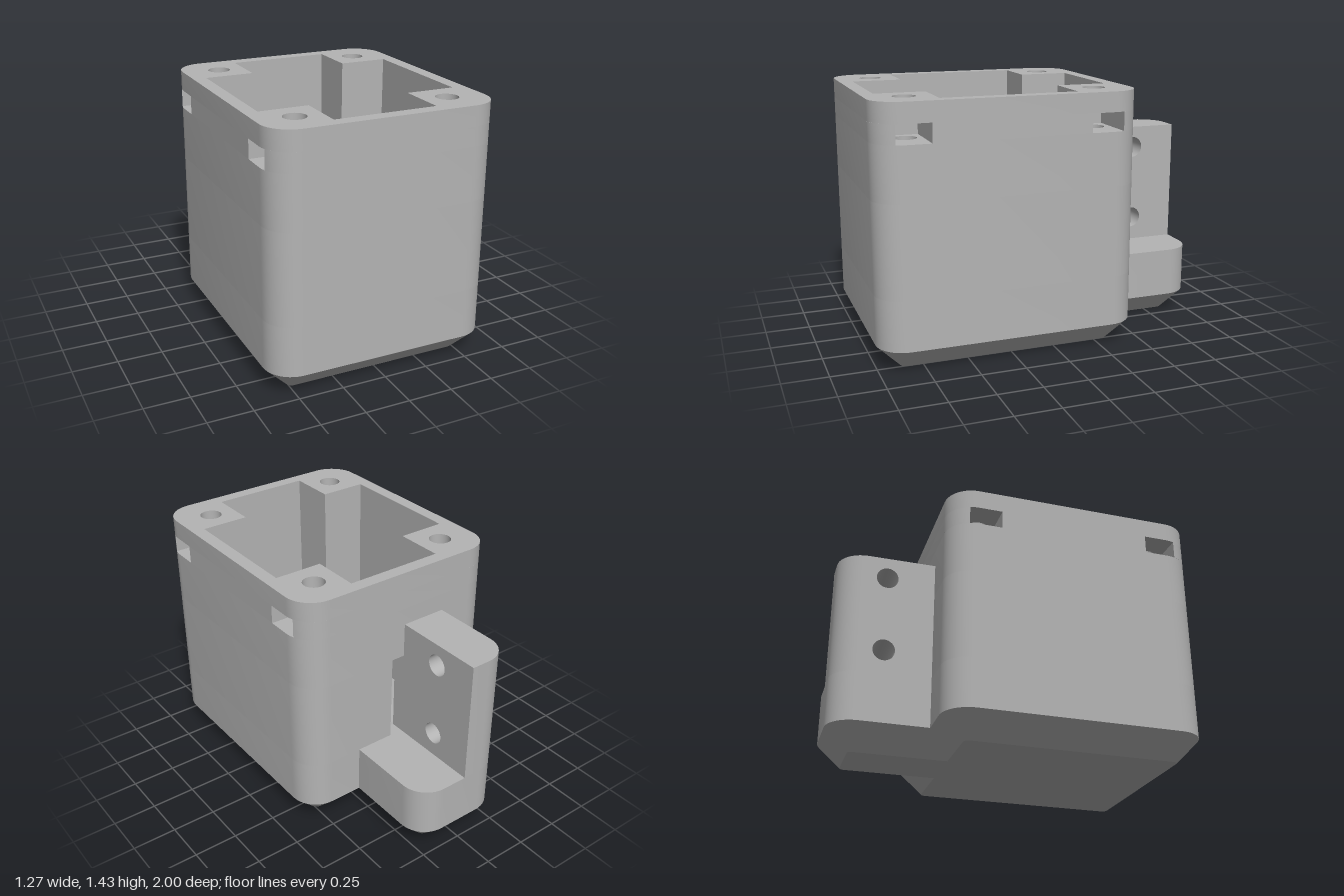
import * as THREE from 'three';
import { toCreasedNormals } from 'three/addons/utils/BufferGeometryUtils.js';

// Plan outlines are lists of [x, y] where y points to the back (y = -z).
const HW = 0.635, HD = 0.73, R = 0.16, CHAMFER = 0.13, TOP = 1.435;
const WALL_X = 0.285, WALL_Z = 0.655;

function arc(cx, cy, r, a0, a1, n = 10) {
  const pts = [];
  for (let i = 0; i <= n; i++) {
    const a = a0 + (a1 - a0) * i / n;
    pts.push([cx + r * Math.cos(a), cy + r * Math.sin(a)]);
  }
  return pts;
}

// Mirror one quadrant into a full counter-clockwise loop
function mirror4(q) {
  const m = (sx, sy) => q.map(([x, y]) => [x * sx, y * sy]);
  return [...m(1, 1), ...m(-1, 1).reverse(), ...m(-1, -1), ...m(1, -1).reverse()];
}

const roundedRect = (w, d, r) => mirror4(arc(w - r, d - r, r, 0, Math.PI / 2));
const cross = (inset) => mirror4([
  [0.56 - inset, 0.375 - inset], [WALL_X - inset, 0.375 - inset], [WALL_X - inset, WALL_Z - inset]]);
const toShape = (pts) => new THREE.Shape(pts.map(([x, y]) => new THREE.Vector2(x, y)));

function circlePath(x, y, r) {
  const p = new THREE.Path();
  p.absarc(x, y, r, 0, Math.PI * 2, true);
  return p;
}

// Upright prism between two heights
function prism(pts, y0, y1, holes = []) {
  const s = toShape(pts);
  s.holes.push(...holes);
  const g = new THREE.ExtrudeGeometry(s, { depth: y1 - y0, bevelEnabled: false, curveSegments: 16 });
  g.rotateX(-Math.PI / 2).translate(0, y0, 0);
  return toCreasedNormals(g, 0.5);
}

// Sloped band between two matching outlines
function band(lower, y0, upper, y1) {
  const pos = [], n = lower.length;
  for (let i = 0; i < n; i++) {
    const j = (i + 1) % n;
    const a = [lower[i][0], y0, -lower[i][1]], b = [lower[j][0], y0, -lower[j][1]];
    const c = [upper[j][0], y1, -upper[j][1]], d = [upper[i][0], y1, -upper[i][1]];
    pos.push(...a, ...b, ...c, ...a, ...c, ...d);
  }
  const g = new THREE.BufferGeometry();
  g.setAttribute('position', new THREE.Float32BufferAttribute(pos, 3));
  g.computeVertexNormals();
  return toCreasedNormals(g, 0.5);
}

// Flat horizontal face looking up or down
function cap(pts, y, up) {
  const g = new THREE.ShapeGeometry(toShape(up ? pts : pts.map(([x, v]) => [x, -v])));
  return g.rotateX(up ? -Math.PI / 2 : Math.PI / 2).translate(0, y, 0);
}

export function createModel() {
  const model = new THREE.Group();
  model.name = 'mountingBox';
  const grey = new THREE.MeshStandardMaterial({ color: 0xb4b4b4 });
  grey.name = 'grey plastic';
  const add = (group, name, geo) => {
    const m = new THREE.Mesh(geo, grey);
    m.name = name;
    group.add(m);
  };

  // Box body, built around its own centre
  const body = new THREE.Group();
  body.name = 'body';
  body.position.z = 0.27;
  model.add(body);

  const outer = roundedRect(HW, HD, R);
  const inner = cross(0);
  const foot = roundedRect(HW - CHAMFER, HD - CHAMFER, R - CHAMFER);
  const cavity = () => new THREE.Path(inner.map(([x, y]) => new THREE.Vector2(x, y)));
  const screwHoles = () => [[1, 1], [-1, 1], [-1, -1], [1, -1]]
    .map(([sx, sy]) => circlePath(sx * 0.43, sy * 0.527, 0.062));

  add(body, 'bodyChamfer', band(foot, 0, outer, CHAMFER));
  add(body, 'bodyUnderside', cap(foot, 0, false));
  add(body, 'lowerWalls', prism(outer, CHAMFER, 0.41, [cavity()]));

  // Wall layer with the cable slot through the back
  const startBack = (pts) => [...pts.slice(pts.length / 4), ...pts.slice(0, pts.length / 4)];
  const slotted = [[-0.02, HD], ...startBack(outer), [0.06, HD],
    [0.06, WALL_Z], ...startBack(inner).reverse(), [-0.02, WALL_Z]];
  add(body, 'slottedWalls', prism(slotted, 0.41, 0.92));

  // Upper walls with screw holes, and side pockets for nuts
  add(body, 'upperWalls', prism(outer, 0.92, 1.22, [cavity(), ...screwHoles()]));
  const a0 = Math.asin(0.05 / R);
  const pockets = mirror4([[HW, 0.435], [0.335, 0.435], [0.335, 0.62],
    ...arc(HW - R, HD - R, R, a0, Math.PI / 2)]);
  add(body, 'nutPocketWalls', prism(pockets, 1.22, 1.325, [cavity()]));
  add(body, 'rim', prism(outer, 1.325, TOP, [cavity(), ...screwHoles()]));

  // Cavity floor with sloped edges
  const floor = cross(0.08);
  add(body, 'cavitySlope', band([...floor].reverse(), 0.08, [...inner].reverse(), 0.16));
  add(body, 'cavityFloor', cap(floor, 0.08, true));

  // Rear bracket: chamfered base, low ledge and tall drilled plate
  const bracket = new THREE.Group();
  bracket.name = 'rearBracket';
  model.add(bracket);
  const tabRing = (w, front, back, r) => [[w, front],
    ...arc(w - r, back - r, r, 0, Math.PI / 2),
    ...arc(r - w, back - r, r, Math.PI / 2, Math.PI), [-w, front]];
  const tab = tabRing(WALL_X, 0.42, 1, 0.155);
  const tabFoot = tabRing(WALL_X - CHAMFER, 0.33, 1 - CHAMFER, 0.025);
  add(bracket, 'bracketChamfer', band(tabFoot, 0, tab, CHAMFER));
  add(bracket, 'bracketUnderside', cap(tabFoot, 0, false));
  add(bracket, 'bracketLedge', prism(tab, CHAMFER, 0.41));

  const plate = toShape([[0.45, 0.41], [0.84, 0.41], [0.84, 1.12], [0.45, 1.12]]);
  for (const y of [0.55, 0.995]) plate.holes.push(circlePath(0.73, y, 0.062));
  const plateGeo = new THREE.ExtrudeGeometry(plate, { depth: 0.265, bevelEnabled: false, curveSegments: 16 });
  plateGeo.rotateY(Math.PI / 2).translate(-WALL_X, 0, 0);
  add(bracket, 'drilledPlate', toCreasedNormals(plateGeo, 0.5));
  add(bracket, 'plateEnd', prism([[-0.02, 0.84], [-0.02, 1],
    ...arc(-0.13, 0.845, 0.155, Math.PI / 2, Math.PI), [-WALL_X, 0.84]], 0.41, 1.12));

  return model;
}
